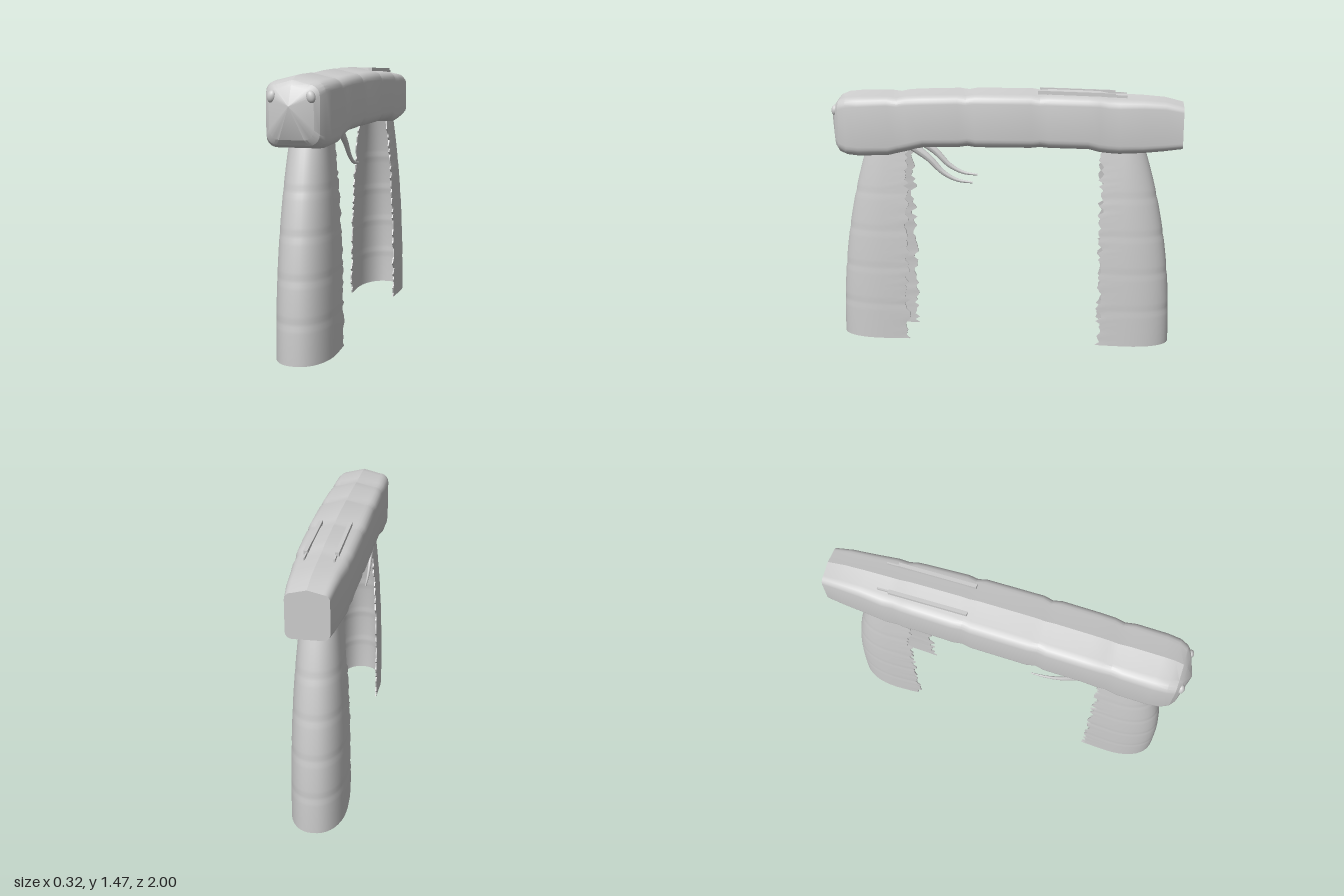
import * as THREE from 'three';
import { toCreasedNormals } from 'three/addons/utils/BufferGeometryUtils.js';

// Skin closed rings of [x, y, z] points that share one point count
function loft(rings, crease) {
  const n = rings[0].length, index = [];
  for (let i = 0; i < rings.length - 1; i++) {
    for (let j = 0; j < n; j++) {
      const k = (j + 1) % n;
      const a = i * n + j, b = i * n + k, c = (i + 1) * n + k, d = (i + 1) * n + j;
      index.push(a, b, c, a, c, d);
    }
  }
  const geo = new THREE.BufferGeometry();
  geo.setAttribute('position', new THREE.Float32BufferAttribute(rings.flat(2), 3));
  geo.setIndex(index);
  return toCreasedNormals(geo, crease);
}

// Rounded box section with a shallow roof ridge, counter-clockwise seen from +z
function bodyRing([z, w, bottom, top, r]) {
  const ridge = 0.16 * w, eave = top - ridge, pts = [];
  const corner = (sx, cy, start) => {
    for (let i = 0; i <= 5; i++) {
      const a = start + (i / 5) * Math.PI / 2;
      pts.push([sx * (w - r) + r * Math.cos(a), cy + r * Math.sin(a), z]);
    }
  };
  corner(1, bottom + r, -Math.PI / 2);
  corner(1, eave - r, 0);
  pts.push([0, top, z]);
  corner(-1, eave - r, Math.PI / 2);
  corner(-1, bottom + r, Math.PI);
  return pts;
}

// Open U-shaped shell, ragged along its two inner edges
function legGeometry(seed) {
  const random = () => (seed = (seed * 16807) % 2147483647) / 2147483647;
  const rings = [], rows = 64, height = 1.17, wall = 0.008;
  for (let i = 0; i <= rows; i++) {
    const y = (i / rows) * height, t = y / 1.1;
    let groove = 1;
    for (const g of [0.21, 0.43, 0.65, 0.87]) groove -= 0.012 * Math.exp(-(((y - g) / 0.014) ** 2));
    const w = (0.15 - 0.05 * t ** 2.5) * groove;
    const front = 0.965 - 0.155 * t ** 2.2 - (1 - groove) * 0.3;
    const mid = 0.71 - 0.03 * t;
    const edges = [0, 1].map(() => 0.557 + (random() - 0.5) * 0.035);
    const arc = (inset) => {
      const hw = w - inset, depth = front - inset - mid;
      const pts = [[-hw * 0.95, y, edges[0]], [-hw * 0.975, y, 0.61]];
      for (let k = 0; k <= 20; k++) {
        const a = Math.PI * (1 - k / 20), c = Math.cos(a);
        pts.push([hw * Math.sign(c) * Math.abs(c) ** 0.9, y, mid + depth * Math.max(0, Math.sin(a)) ** 0.9]);
      }
      pts.push([hw * 0.975, y, 0.61], [hw * 0.95, y, edges[1]]);
      return pts;
    };
    const outer = arc(0);
    // Bottom rim between the outer and inner walls
    if (i === 0) rings.push([...outer, ...arc(0).reverse()]);
    rings.push([...outer, ...arc(wall).reverse()]);
  }
  return loft(rings, 0.6);
}

// Tube that narrows to a tip
function hookGeometry() {
  const curve = new THREE.CatmullRomCurve3([
    [1.15, 0.515], [1.08, 0.42], [1.0, 0.34], [0.957, 0.26], [0.943, 0.17],
  ].map(([y, z]) => new THREE.Vector3(0, y, z)));
  const steps = 24, sides = 12;
  const geo = new THREE.TubeGeometry(curve, steps, 0.027, sides);
  const pos = geo.attributes.position, p = new THREE.Vector3();
  for (let i = 0; i < pos.count; i++) {
    const t = Math.floor(i / (sides + 1)) / steps, c = curve.getPointAt(t);
    p.fromBufferAttribute(pos, i).sub(c).multiplyScalar(1 - 0.8 * t);
    p.x *= 0.65;
    p.add(c);
    pos.setXYZ(i, p.x, p.y, p.z);
  }
  geo.computeVertexNormals();
  return geo;
}

export function createModel() {
  const model = new THREE.Group();
  const grey = new THREE.MeshStandardMaterial({ color: 0xcccccc });
  grey.name = 'plainGrey';
  const add = (name, geo) => {
    const mesh = new THREE.Mesh(geo, grey);
    mesh.name = name;
    model.add(mesh);
    return mesh;
  };

  // Segmented body: z, half width, bottom, top, corner radius
  const stations = [
    [-1, 0.11, 1.15, 1.405, 0.035],
    [-0.9, 0.12, 1.137, 1.43, 0.04],
    [-0.78, 0.128, 1.125, 1.44, 0.045],
    [-0.65, 0.142, 1.12, 1.446, 0.05],
    [-0.59, 0.139, 1.123, 1.447, 0.05],
    [-0.54, 0.147, 1.13, 1.457, 0.05],
    [-0.48, 0.15, 1.145, 1.46, 0.05],
    [-0.26, 0.156, 1.149, 1.466, 0.05],
    [-0.21, 0.15, 1.153, 1.461, 0.05],
    [-0.16, 0.158, 1.148, 1.47, 0.05],
    [0.15, 0.16, 1.147, 1.47, 0.05],
    [0.2, 0.152, 1.153, 1.461, 0.05],
    [0.25, 0.16, 1.146, 1.468, 0.05],
    [0.45, 0.16, 1.142, 1.462, 0.05],
    [0.54, 0.158, 1.12, 1.457, 0.05],
    [0.59, 0.152, 1.108, 1.446, 0.05],
    [0.65, 0.159, 1.094, 1.454, 0.05],
    [0.82, 0.16, 1.086, 1.45, 0.055],
    [0.89, 0.154, 1.092, 1.443, 0.055],
    [0.935, 0.138, 1.108, 1.425, 0.055],
    [0.958, 0.115, 1.135, 1.4, 0.05],
  ];
  const rings = stations.map(bodyRing);
  const point = (y, z) => rings[0].map(() => [0, y, z]);
  // Flat tail cap and pointed nose
  add('body', loft([point(1.28, -1), ...rings, point(1.3, 1)], 0.42));

  // Hollow legs, the rear one turned to face the front one
  add('frontLeg', legGeometry(17));
  add('rearLeg', legGeometry(91)).rotation.y = Math.PI;

  const hook = hookGeometry();
  const eye = new THREE.SphereGeometry(1, 20, 14);
  for (const [side, s] of [['left', 1], ['right', -1]]) {
    // Curved hook under the front of the body
    add(side + 'Hook', hook).position.x = s * 0.113;

    // Bulging eye
    const ball = add(side + 'Eye', eye);
    ball.position.set(s * 0.1, 1.345, 0.957);
    ball.scale.set(0.023, 0.031, 0.02);
    ball.rotation.z = s * 0.25;

    // Rail on the roof, with a thin rod running past its rear end
    const rail = add(side + 'Rail', new THREE.BoxGeometry(0.02, 0.02, 0.43));
    rail.position.set(s * 0.08, 1.45, -0.41);
    rail.rotation.x = -0.025;
    const rod = add(side + 'RailRod', new THREE.BoxGeometry(0.008, 0.014, 0.12));
    rod.position.set(s * 0.076, 1.438, -0.63);
    rod.rotation.x = -0.04;
  }
  return model;
}
